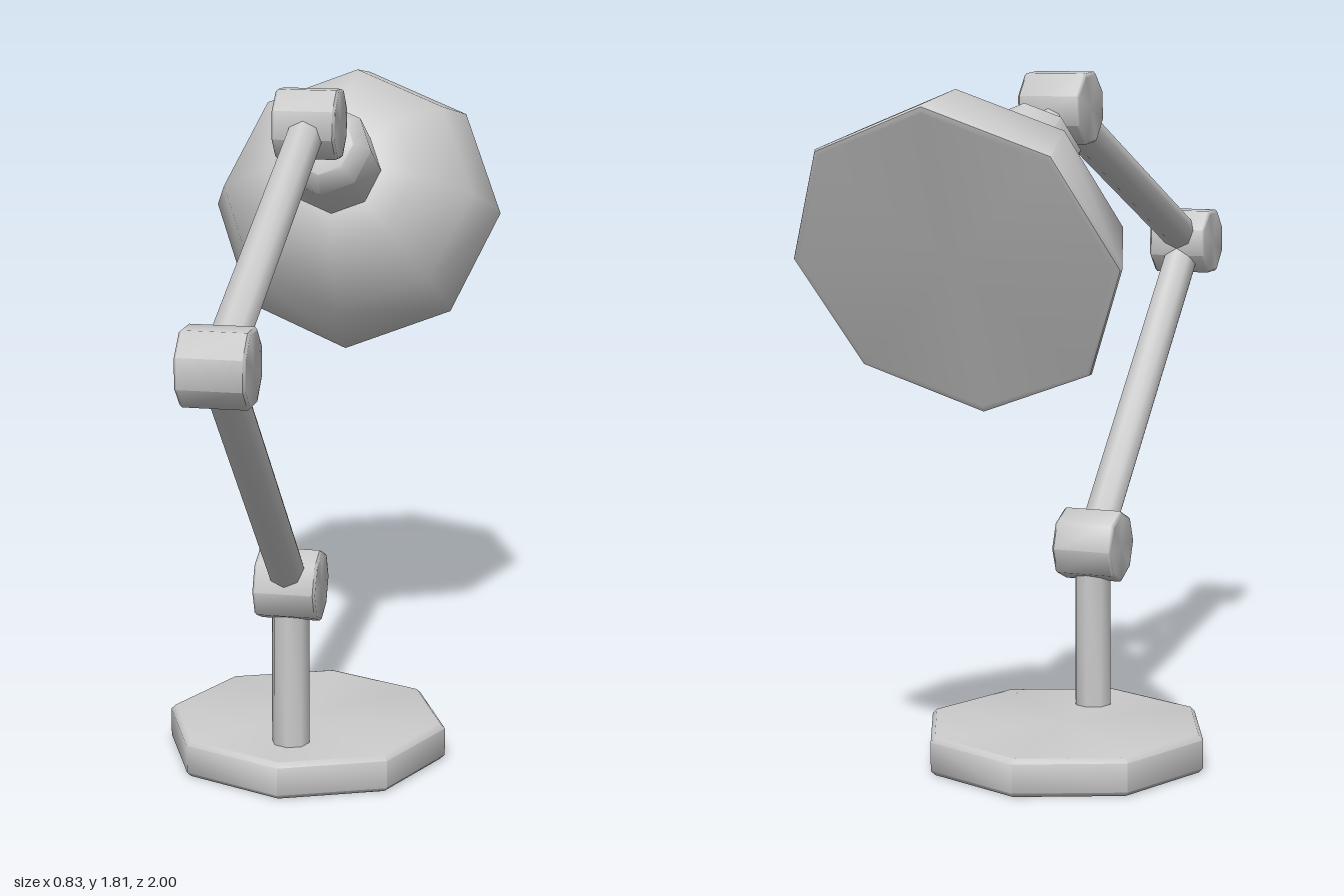
import * as THREE from 'three';
import { toCreasedNormals } from 'three/addons/utils/BufferGeometryUtils.js';

const material = new THREE.MeshStandardMaterial({ color: 0xcccccc });
const SIDES = 8;
const UP = new THREE.Vector3(0, 1, 0);

// Eight-sided turned solid about y, from [radius, height] pairs, bottom to top
function turned(profile) {
  const points = profile.map(([r, h]) => new THREE.Vector2(r, h));
  return toCreasedNormals(new THREE.LatheGeometry(points, SIDES), 0.9);
}

// Disc or drum with slightly bevelled rims; inner rings keep the caps flat
function drum(radius, height, bevel) {
  const cap = radius - bevel;
  return turned([
    [0, 0], [cap - 0.004, 0], [cap, 0], [radius, bevel],
    [radius, height - bevel], [cap, height], [cap - 0.004, height], [0, height],
  ]);
}

function addMesh(group, name, geometry) {
  const mesh = new THREE.Mesh(geometry, material);
  mesh.name = name;
  group.add(mesh);
  return mesh;
}

// Places a y-axis part at a point and aims it along a direction
function aim(mesh, origin, direction) {
  mesh.position.copy(origin);
  mesh.quaternion.setFromUnitVectors(UP, direction);
}

function addRod(group, name, from, to, radius) {
  const span = to.clone().sub(from);
  const length = span.length();
  const rod = addMesh(group, name, turned([[0, 0], [radius, 0], [radius, length], [0, length]]));
  aim(rod, from, span.normalize());
}

// Sideways drum centred on a pivot and turned to match its arm
function addJoint(group, name, centre, angle) {
  const width = 0.166;
  const geometry = drum(0.097, width, 0.006);
  geometry.translate(0, -width / 2, 0).rotateZ(Math.PI / 2).rotateX(-angle);
  addMesh(group, name, geometry).position.copy(centre);
}

export function createModel() {
  const lamp = new THREE.Group();
  lamp.name = 'deskLamp';

  const shoulder = new THREE.Vector3(0, 0.54, 0.12);
  const elbow = new THREE.Vector3(0, 1.3, 0.91);
  const wrist = new THREE.Vector3(0, 1.722, -0.12);
  const headAxis = new THREE.Vector3(0, -0.435, -0.9).normalize();

  // Base and post
  addMesh(lamp, 'base', drum(0.384, 0.1, 0.012)).position.z = -0.09;
  addRod(lamp, 'post', new THREE.Vector3(0, 0.08, 0.12), shoulder, 0.051);

  // Arms
  addRod(lamp, 'lowerArm', shoulder, elbow, 0.05);
  addRod(lamp, 'upperArm', elbow, wrist, 0.05);

  // Pivots
  addJoint(lamp, 'lowerJoint', shoulder, Math.PI / 4);
  addJoint(lamp, 'elbowJoint', elbow, Math.PI / 8);
  addJoint(lamp, 'headJoint', wrist, Math.atan2(0.435, 0.9));

  // Head: neck, socket and closed shade share one axis from the wrist
  const head = new THREE.Group();
  head.name = 'head';
  aim(head, wrist, headAxis);
  lamp.add(head);

  addMesh(head, 'neck', turned([[0, 0], [0.04, 0], [0.04, 0.2], [0, 0.2]]));
  addMesh(head, 'socket', turned([
    [0, 0.165], [0.086, 0.165], [0.09, 0.167], [0.128, 0.218], [0.128, 0.41], [0, 0.41],
  ]));
  addMesh(head, 'shade', turned([
    [0, 0.388], [0.12, 0.388], [0.216, 0.422], [0.356, 0.584],
    [0.415, 0.77], [0.412, 0.778], [0.402, 0.78], [0.396, 0.78], [0, 0.78],
  ]));

  return lamp;
}
